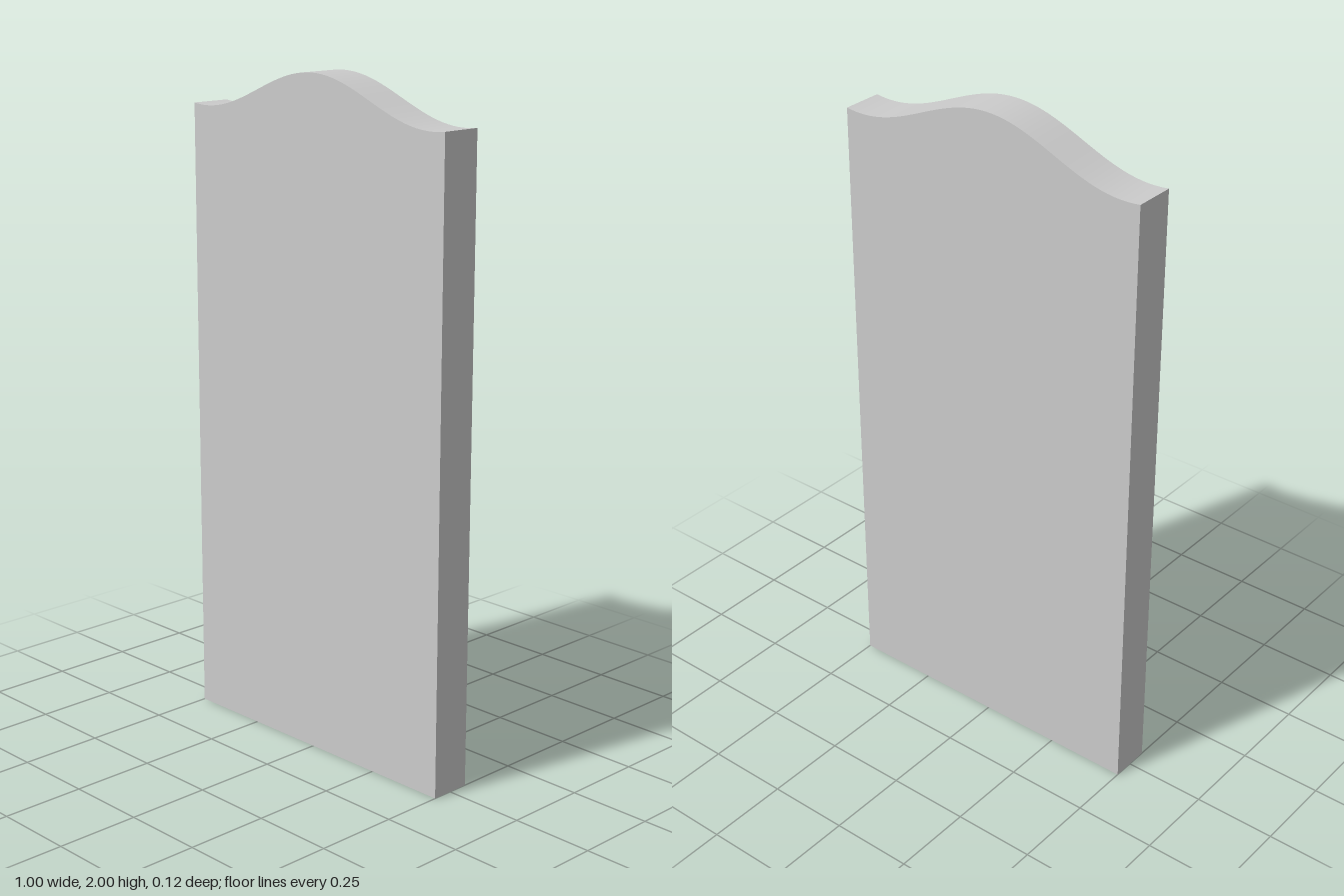
import * as THREE from 'three';
import { toCreasedNormals } from 'three/addons/utils/BufferGeometryUtils.js';

const HALF_WIDTH = 0.5;
const DEPTH = 0.125;
const STEPS = 48;

// Height of the wavy top edge: a central crest with a shallow dip near each side
const topEdge = (x) => 1.9385 + 0.0615 * Math.cos((Math.PI * x) / 0.45);

export function createModel() {
  const group = new THREE.Group();
  group.name = 'headstone';

  // Slab outline: straight base and sides, curved top from right to left
  const outline = new THREE.Shape();
  outline.moveTo(-HALF_WIDTH, 0);
  outline.lineTo(HALF_WIDTH, 0);
  for (let i = 0; i <= STEPS; i++) {
    const x = HALF_WIDTH * (1 - (2 * i) / STEPS);
    outline.lineTo(x, topEdge(x));
  }
  outline.closePath();

  const extruded = new THREE.ExtrudeGeometry(outline, { depth: DEPTH, bevelEnabled: false });
  extruded.translate(0, 0, -DEPTH / 2);

  // Smooth along the curve, sharp at the corners
  const slab = new THREE.Mesh(
    toCreasedNormals(extruded, Math.PI / 6),
    new THREE.MeshStandardMaterial({ color: 0xcccccc })
  );
  slab.name = 'slab';
  group.add(slab);
  return group;
}
